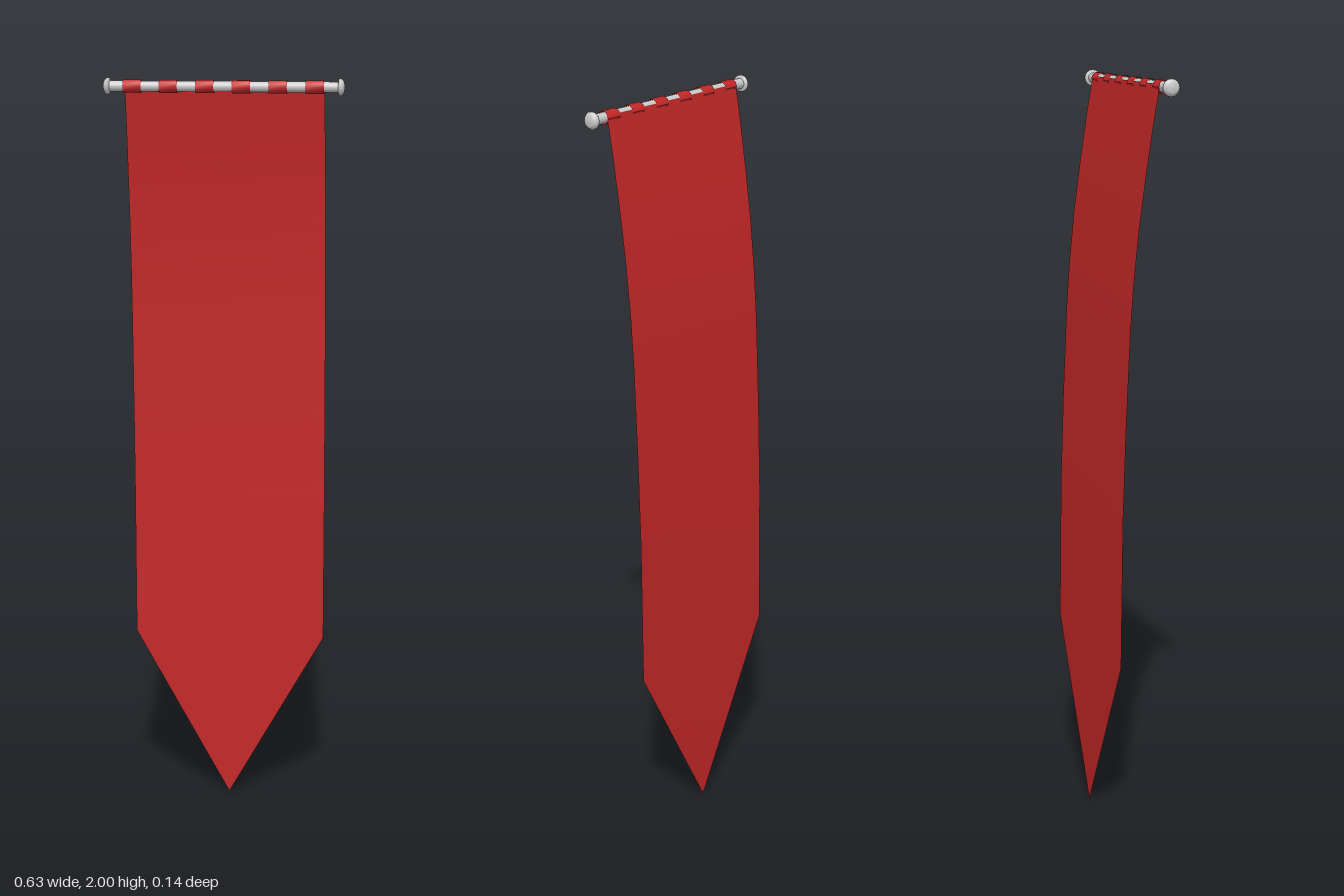
import * as THREE from 'three';

const ROD_Y = 1.978, ROD_Z = 0.045, HALF_W = 0.263;

// Surface through rows of [halfWidth, y, z], centred on x = 0
function ribbon(rows, material) {
  const positions = [], index = [];
  rows.forEach(([w, y, z], i) => {
    positions.push(-w, y, z, w, y, z);
    if (i > 0) {
      const a = 2 * (i - 1);
      index.push(a, a + 2, a + 1, a + 1, a + 2, a + 3);
    }
  });
  const geometry = new THREE.BufferGeometry();
  geometry.setAttribute('position', new THREE.Float32BufferAttribute(positions, 3));
  geometry.setIndex(index);
  geometry.computeVertexNormals();
  return new THREE.Mesh(geometry, material);
}

export function createModel() {
  const group = new THREE.Group();
  const grey = new THREE.MeshStandardMaterial({ color: 0xcccccc });
  const red = new THREE.MeshStandardMaterial({ color: 0xc62828, side: THREE.DoubleSide });

  // Hanging cloth, drifting back as it falls, ending in a point
  const cloth = ribbon([
    [HALF_W, 1.985, 0.031],
    [HALF_W, 1.88, 0.013],
    [HALF_W, 1.76, -0.005],
    [HALF_W, 1.62, -0.024],
    [HALF_W, 1.48, -0.038],
    [HALF_W, 1.35, -0.047],
    [HALF_W, 1.1, -0.058],
    [HALF_W, 0.86, -0.066],
    [HALF_W, 0.465, -0.071],
    [0, 0, -0.072],
  ], red);
  cloth.name = 'cloth';
  group.add(cloth);

  // Loops wrapping the rod
  const loops = new THREE.Group();
  loops.name = 'clothLoops';
  const sides = 10, r = 0.0175, loopRows = [];
  for (let i = 0; i <= sides; i++) {
    const a = Math.PI - (i / sides) * Math.PI * 2;
    loopRows.push([0.024, ROD_Y + r * Math.sin(a), ROD_Z + r * Math.cos(a)]);
  }
  for (let i = 0; i < 6; i++) {
    const loop = ribbon(loopRows, red);
    loop.name = 'clothLoop';
    loop.position.x = (i - 2.5) * 0.0957;
    loops.add(loop);
  }
  group.add(loops);

  // Rod
  const rod = new THREE.Mesh(new THREE.CylinderGeometry(0.014, 0.014, 0.61, 16), grey);
  rod.name = 'rod';
  rod.rotation.z = Math.PI / 2;
  rod.position.set(0, ROD_Y, ROD_Z);
  group.add(rod);

  // Flanged end caps, mirrored
  const capProfile = [
    [0, 0.299], [0.014, 0.299], [0.022, 0.301], [0.0225, 0.306], [0.018, 0.312], [0.012, 0.315], [0, 0.316],
  ].map(([x, y]) => new THREE.Vector2(x, y));
  for (const side of [-1, 1]) {
    const cap = new THREE.Mesh(new THREE.LatheGeometry(capProfile, 16), grey);
    cap.name = side > 0 ? 'leftEndCap' : 'rightEndCap';
    cap.rotation.z = -side * Math.PI / 2;
    cap.position.set(0, ROD_Y, ROD_Z);
    group.add(cap);
  }
  return group;
}
